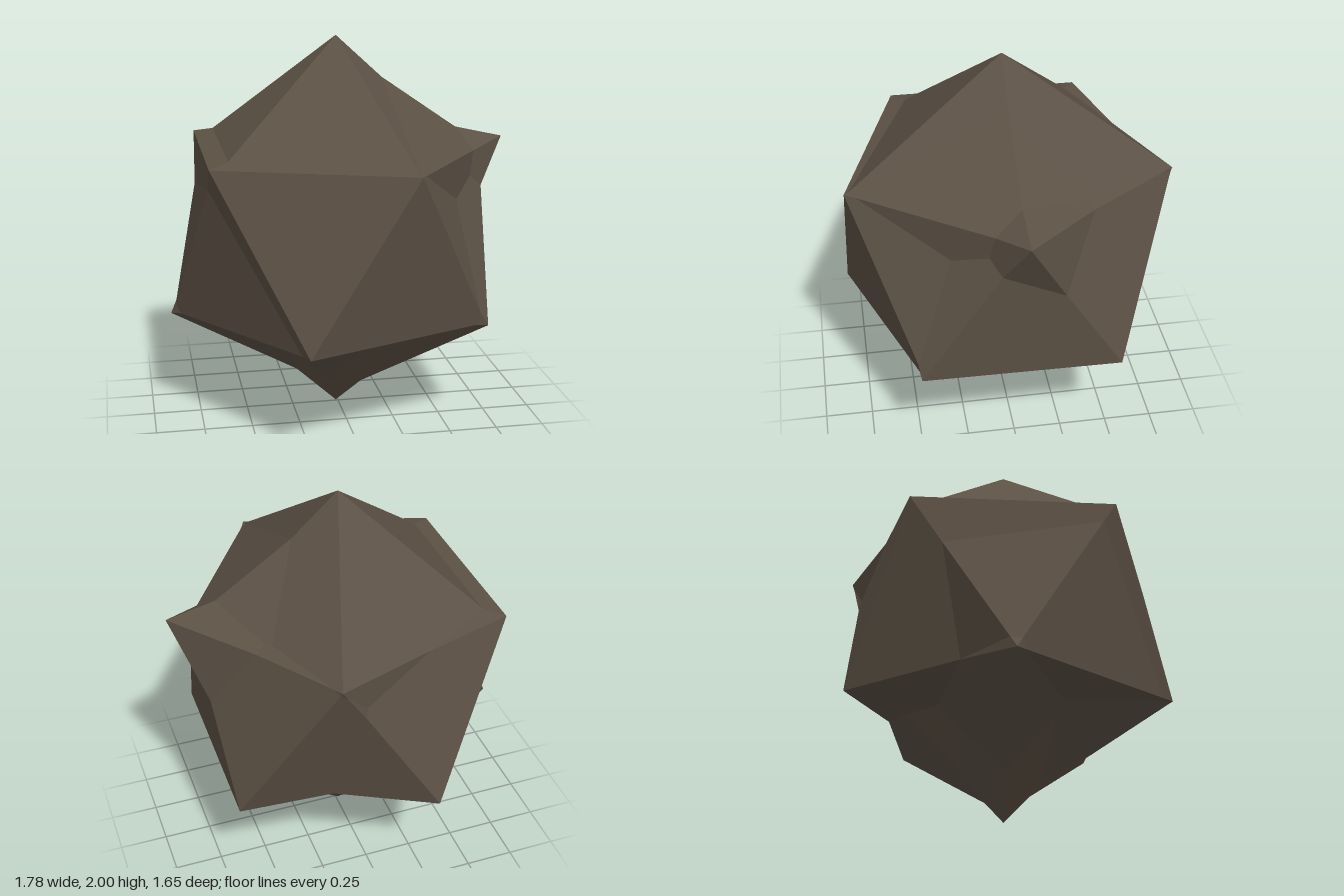
import * as THREE from 'three';

// Corner radii of six interpenetrating twenty-sided shards:
// top, five upper corners, five lower corners (counted from +x towards +z), bottom
const SHARDS = {
  crownShard: [1, 0.79, 0.95, 0.91, 0.91, 0.97, 0.78, 0.78, 0.79, 0.72, 0.78, 1],
  sideShard: [0.65, 0.865, 0.76, 0.7, 0.7, 0.965, 0.965, 0.7, 0.7, 0.78, 0.975, 0.95],
  frontShard: [0.945, 0.89, 0.95, 0.87, 0.87, 0.87, 0.7, 0.97, 0.7, 0.7, 0.7, 0.93],
  spurShard: [0.65, 1, 0.62, 0.7, 0.7, 0.83, 0.65, 0.7, 0.985, 0.7, 0.81, 0.92],
  ridgeShard: [0.6, 0.75, 0.96, 0.97, 0.97, 0.9, 0.945, 0.975, 0.83, 0.95, 0.82, 0.62],
  flankShard: [0.6, 0.6, 0.7, 0.95, 0.91, 0.6, 0.6, 0.965, 0.965, 0.72, 0.6, 0.6],
};

// Unit directions of the twelve corners
function cornerDirections() {
  const y = 1 / Math.sqrt(5), r = 2 * y;
  const ring = (height, turn) => Array.from({ length: 5 }, (_, i) => {
    const a = (i + turn) * Math.PI * 0.4;
    return new THREE.Vector3(r * Math.cos(a), height, r * Math.sin(a));
  });
  return [new THREE.Vector3(0, 1, 0), ...ring(y, 0), ...ring(-y, 0.5), new THREE.Vector3(0, -1, 0)];
}

// Faces: cap, two interlocking side rows and base
function shardGeometry(radii) {
  const corners = cornerDirections().map((d, i) => d.multiplyScalar(radii[i]));
  const index = [];
  for (let i = 0; i < 5; i++) {
    const j = (i + 1) % 5;
    const u0 = 1 + i, u1 = 1 + j, d0 = 6 + i, d1 = 6 + j;
    index.push(0, u1, u0, u0, u1, d0, d0, u1, d1, 11, d0, d1);
  }
  const indexed = new THREE.BufferGeometry().setFromPoints(corners);
  indexed.setIndex(index);
  const geometry = indexed.toNonIndexed();
  geometry.computeVertexNormals();
  return geometry;
}

export function createModel() {
  const group = new THREE.Group();
  group.name = 'rock';
  const stone = new THREE.MeshStandardMaterial({ color: 0x5c5145, flatShading: true });
  stone.name = 'brown stone';
  for (const [name, radii] of Object.entries(SHARDS)) {
    const mesh = new THREE.Mesh(shardGeometry(radii), stone);
    mesh.name = name;
    mesh.position.set(-0.01, 1, -0.01);
    group.add(mesh);
  }
  return group;
}
